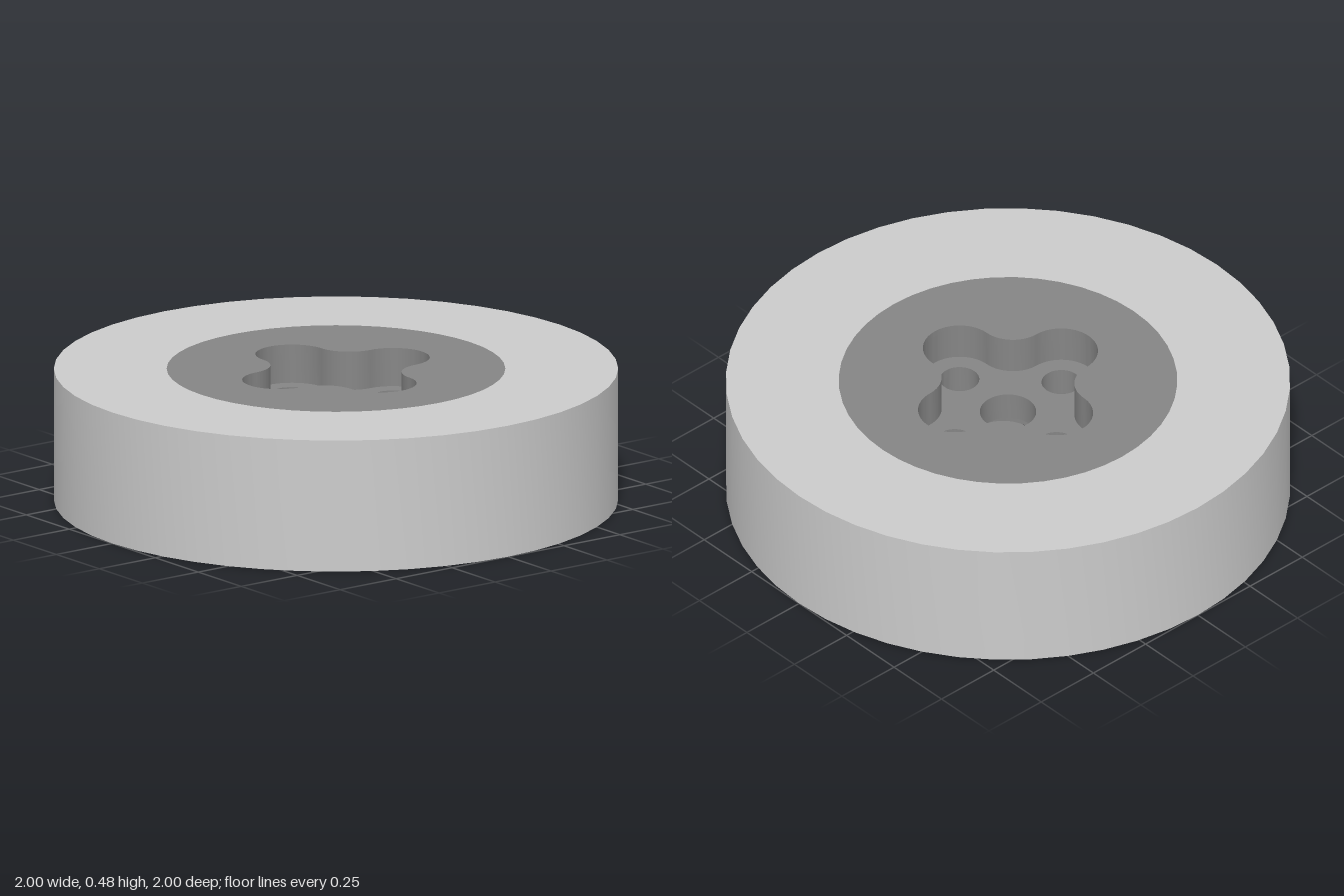
import * as THREE from 'three';
import { toCreasedNormals } from 'three/addons/utils/BufferGeometryUtils.js';

const HEIGHT = 0.48, HUB_R = 0.6, BORE_R = 0.37, LOBE = 0.255;
const SLOT_TOP = 0.13, WEB_BOTTOM = 0.235, WEB_TOP = 0.34;

const circle = (r, x = 0, y = 0) => new THREE.Path().absarc(x, y, r, 0, Math.PI * 2, false);

// Four round lobes joined by concave fillets
function cloverPath() {
  const p = new THREE.Path();
  for (let k = 0; k < 4; k++) {
    const a = k * Math.PI / 2, d = a + Math.PI / 4, q = Math.PI / 2;
    p.absarc(LOBE * Math.cos(a), LOBE * Math.sin(a), 0.13, a - q, a + q, false);
    const f = LOBE * Math.SQRT2;
    p.absarc(f * Math.cos(d), f * Math.sin(d), 0.125, a - q, a - 2 * q, true);
  }
  p.closePath();
  return p;
}

// Round bore with a radial slot running out towards the tyre
function slottedBorePath() {
  const a = -51 * Math.PI / 180, half = 0.075, end = 0.585;
  const delta = Math.asin(half / BORE_R);
  const p = new THREE.Path();
  p.absarc(0, 0, BORE_R, a + delta, a - delta + Math.PI * 2, false);
  for (const s of [-half, half]) {
    p.lineTo(end * Math.cos(a) - s * Math.sin(a), end * Math.sin(a) + s * Math.cos(a));
  }
  p.closePath();
  return p;
}

export function createModel() {
  const model = new THREE.Group();
  const tyreMat = new THREE.MeshStandardMaterial({ color: 0xcccccc });
  const hubMat = new THREE.MeshStandardMaterial({ color: 0x858585 });

  // Tyre: plain ring of rectangular section
  const section = [[HUB_R, 0], [1, 0], [1, HEIGHT], [HUB_R, HEIGHT], [HUB_R, 0]]
    .map(([x, y]) => new THREE.Vector2(x, y));
  const tyre = new THREE.Mesh(toCreasedNormals(new THREE.LatheGeometry(section, 48), 0.6), tyreMat);
  tyre.name = 'tyre';
  model.add(tyre);

  // Hub: stacked discs, each with its own openings
  const hub = new THREE.Group();
  hub.name = 'hub';
  model.add(hub);
  function addLayer(name, y0, y1, holes) {
    const shape = new THREE.Shape().absarc(0, 0, HUB_R, 0, Math.PI * 2, false);
    shape.holes.push(...holes);
    const geo = new THREE.ExtrudeGeometry(shape, { depth: y1 - y0, bevelEnabled: false, curveSegments: 24 });
    geo.rotateX(-Math.PI / 2).translate(0, y0, 0);
    const mesh = new THREE.Mesh(toCreasedNormals(geo, 0.6), hubMat);
    mesh.name = name;
    hub.add(mesh);
  }
  const pinHoles = [[1, 0], [0, 1], [-1, 0], [0, -1]].map(([x, y]) => circle(0.07, x * LOBE, y * LOBE));
  addLayer('slottedBackRing', 0, SLOT_TOP, [slottedBorePath()]);
  addLayer('boreRing', SLOT_TOP, WEB_BOTTOM, [circle(BORE_R)]);
  addLayer('drilledWeb', WEB_BOTTOM, WEB_TOP, [circle(0.1), ...pinHoles]);
  addLayer('cloverFace', WEB_TOP, HEIGHT, [cloverPath()]);

  return model;
}
